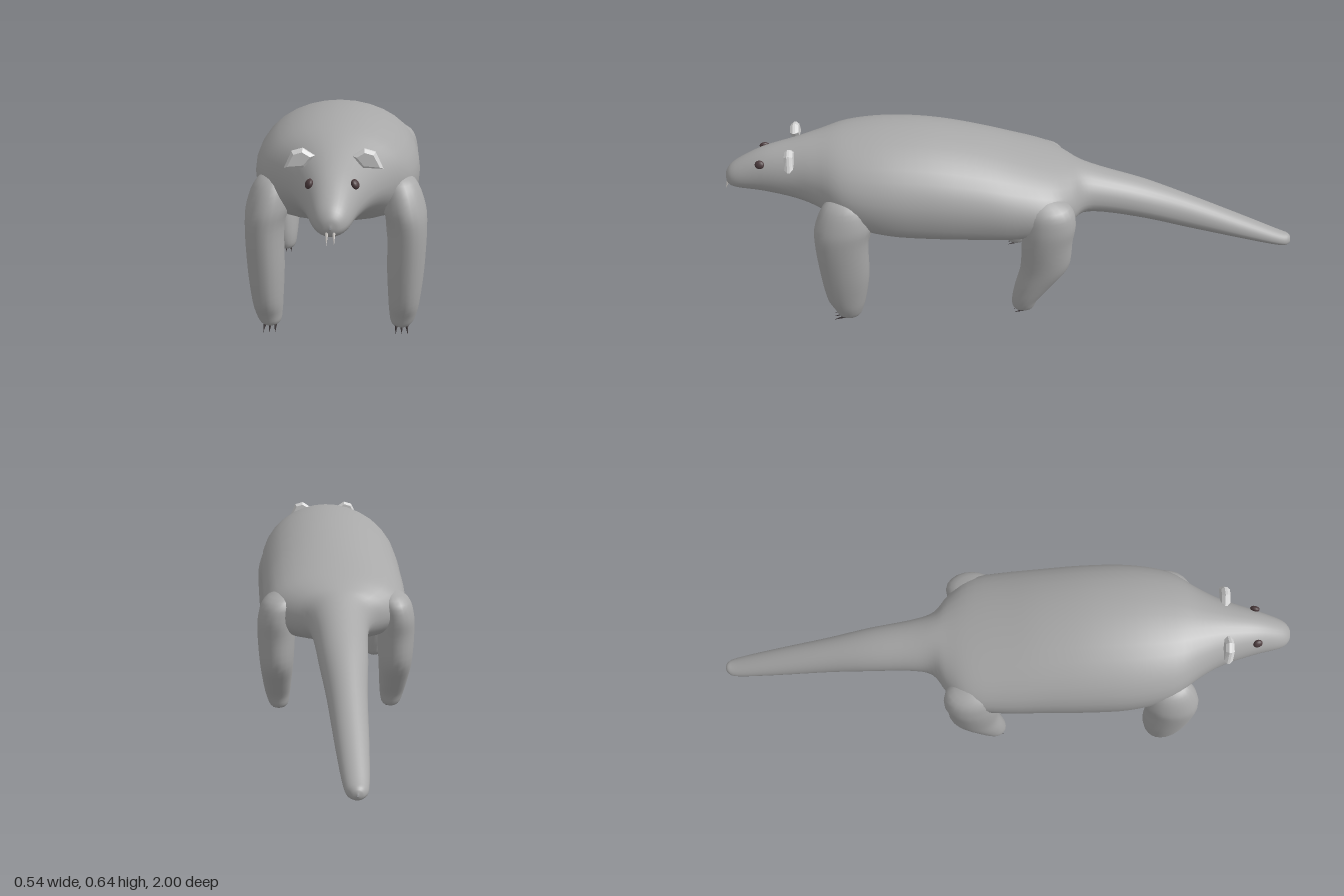
import * as THREE from 'three';

const material = (name, color) => {
  const m = new THREE.MeshStandardMaterial({ color });
  m.name = name;
  return m;
};

// Smooth curve through rows of three numbers
const curve = (rows) =>
  new THREE.CatmullRomCurve3(rows.map((r) => new THREE.Vector3(...r)), false, 'catmullrom', 0.5);

// Skin a closed tube from ring(t, angle) => [x, y, z]
function loft(ring, steps, sides) {
  const pos = [], index = [];
  for (let i = 0; i <= steps; i++) {
    for (let j = 0; j < sides; j++) {
      pos.push(...ring(i / steps, (j / sides) * Math.PI * 2));
      if (i === steps) continue;
      const p = i * sides + j, q = i * sides + ((j + 1) % sides);
      index.push(p, p + sides, q, q, p + sides, q + sides);
    }
  }
  const g = new THREE.BufferGeometry();
  g.setAttribute('position', new THREE.Float32BufferAttribute(pos, 3));
  g.setIndex(index);
  g.computeVertexNormals();
  return g;
}

// Body sections, nose to tail tip: z, top, bottom, half width, belly squareness
const BODY = [
  [0.99, 0.478, 0.470, 0.002, 2],
  [0.982, 0.503, 0.450, 0.028, 2],
  [0.95, 0.532, 0.438, 0.051, 2],
  [0.86, 0.575, 0.425, 0.077, 2],
  [0.75, 0.602, 0.402, 0.115, 2],
  [0.67, 0.62, 0.38, 0.16, 2.2],
  [0.58, 0.638, 0.34, 0.222, 2.6],
  [0.45, 0.645, 0.308, 0.251, 2.8],
  [0.30, 0.633, 0.29, 0.256, 2.8],
  [0.15, 0.60, 0.281, 0.253, 2.8],
  [0.02, 0.558, 0.28, 0.25, 2.8],
  [-0.10, 0.517, 0.288, 0.235, 2.5],
  [-0.17, 0.49, 0.30, 0.175, 2.2],
  [-0.22, 0.472, 0.303, 0.112, 2],
  [-0.30, 0.442, 0.293, 0.09, 2],
  [-0.45, 0.39, 0.255, 0.077, 2],
  [-0.60, 0.325, 0.205, 0.062, 2],
  [-0.80, 0.23, 0.145, 0.049, 2],
  [-0.95, 0.157, 0.103, 0.036, 2],
  [-0.99, 0.14, 0.102, 0.022, 2],
  [-1.0, 0.124, 0.116, 0.002, 2],
];

// Leg sections, shoulder to sole: x, y, z, radius across, radius along
const FRONT_LEG = [
  [0.17, 0.50, 0.58, 0.005, 0.005],
  [0.185, 0.47, 0.58, 0.05, 0.065],
  [0.20, 0.40, 0.588, 0.065, 0.093],
  [0.212, 0.33, 0.60, 0.059, 0.088],
  [0.21, 0.20, 0.60, 0.056, 0.082],
  [0.207, 0.10, 0.603, 0.048, 0.067],
  [0.204, 0.05, 0.60, 0.041, 0.05],
  [0.20, 0.018, 0.60, 0.03, 0.036],
  [0.20, 0.004, 0.60, 0.004, 0.004],
];
const HIND_LEG = [
  [0.17, 0.47, -0.06, 0.005, 0.005],
  [0.19, 0.43, -0.085, 0.055, 0.075],
  [0.205, 0.37, -0.092, 0.062, 0.088],
  [0.206, 0.30, -0.085, 0.064, 0.086],
  [0.206, 0.20, -0.078, 0.058, 0.083],
  [0.205, 0.12, -0.04, 0.05, 0.064],
  [0.203, 0.06, -0.012, 0.042, 0.046],
  [0.20, 0.02, -0.006, 0.03, 0.035],
  [0.20, 0.005, -0.006, 0.004, 0.004],
];

function bodyGeometry() {
  const spine = curve(BODY.map((s) => s.slice(0, 3)));
  const girth = curve(BODY.map((s) => [s[3], s[4], 0]));
  return loft((t, a) => {
    const { x: z, y: top, z: bottom } = spine.getPoint(t);
    const { x: width, y: square } = girth.getPoint(t);
    const mid = bottom + (top - bottom) * 0.43;
    const c = Math.cos(a), s = Math.sin(a);
    const e = s < 0 ? 2 / square : 1;
    const x = Math.sign(c) * Math.abs(c) ** e * width;
    const y = s < 0 ? mid - (-s) ** e * (mid - bottom) : mid + s * (top - mid);
    return [x, y, z];
  }, 80, 32);
}

function legGeometry(rows, side) {
  const bone = curve(rows.map((r) => r.slice(0, 3)));
  const girth = curve(rows.map((r) => [r[3], r[4], 0]));
  return loft((t, a) => {
    const c = bone.getPoint(t), r = girth.getPoint(t);
    return [side * c.x + Math.cos(a) * r.x, c.y, c.z - Math.sin(a) * r.y];
  }, 32, 20);
}

// Cone running from a base point to a tip
function spike(from, to, radius) {
  const a = new THREE.Vector3(...from), d = new THREE.Vector3(...to).sub(a);
  const g = new THREE.ConeGeometry(radius, d.length(), 6);
  g.translate(0, d.length() / 2, 0);
  g.applyQuaternion(new THREE.Quaternion().setFromUnitVectors(
    new THREE.Vector3(0, 1, 0), d.clone().normalize()));
  return g.translate(a.x, a.y, a.z);
}

// Angular ear plate with a bevelled rim
function earGeometry(side) {
  const outline = [[0.064, 0.596], [0.086, 0.61], [0.110, 0.603], [0.128, 0.568], [0.084, 0.572]];
  const shape = new THREE.Shape(outline.map(([x, y]) => new THREE.Vector2(side * x, y)));
  const g = new THREE.ExtrudeGeometry(shape, {
    depth: 0.008, bevelThickness: 0.01, bevelSize: 0.008, bevelSegments: 1,
  });
  return g.translate(0, 0, 0.751);
}

export function createModel() {
  const fur = material('grey fur', 0xa8a8a8);
  const earSkin = material('pale ear', 0xd2d2d2);
  const ivory = material('ivory tooth', 0xe6e2de);
  const horn = material('dark claw', 0x383234);
  const eyeDark = material('dark eye', 0x4c3c3e);

  const model = new THREE.Group();
  model.name = 'animal';
  const add = (name, geometry, mat) => {
    const mesh = new THREE.Mesh(geometry, mat);
    mesh.name = name;
    model.add(mesh);
    return mesh;
  };

  add('body', bodyGeometry(), fur);

  for (const [label, side] of [['left', 1], ['right', -1]]) {
    // Legs, each with three claws
    for (const [part, rows, z] of [['Front', FRONT_LEG, 0.61], ['Hind', HIND_LEG, -0.018]]) {
      add(`${label}${part}Leg`, legGeometry(rows, side), fur);
      for (const k of [-1, 0, 1]) {
        const x = side * 0.2 + k * 0.016;
        add(`${label}${part}Claw`, spike([x, 0.017, z], [x + k * 0.002, 0.004, z + 0.047], 0.006), horn);
      }
    }

    // Ears, eyes and teeth
    add(`${label}Ear`, earGeometry(side), earSkin);
    const eye = add(`${label}Eye`, new THREE.SphereGeometry(0.016, 14, 10), eyeDark);
    eye.scale.set(0.6, 0.9, 1);
    eye.position.set(side * 0.062, 0.551, 0.86);
    eye.rotation.set(0, side * -0.25, side * 0.5);
    add(`${label}Tooth`, spike([side * 0.009, 0.464, 0.982], [side * 0.01, 0.428, 0.997], 0.0055), ivory);
  }
  return model;
}
